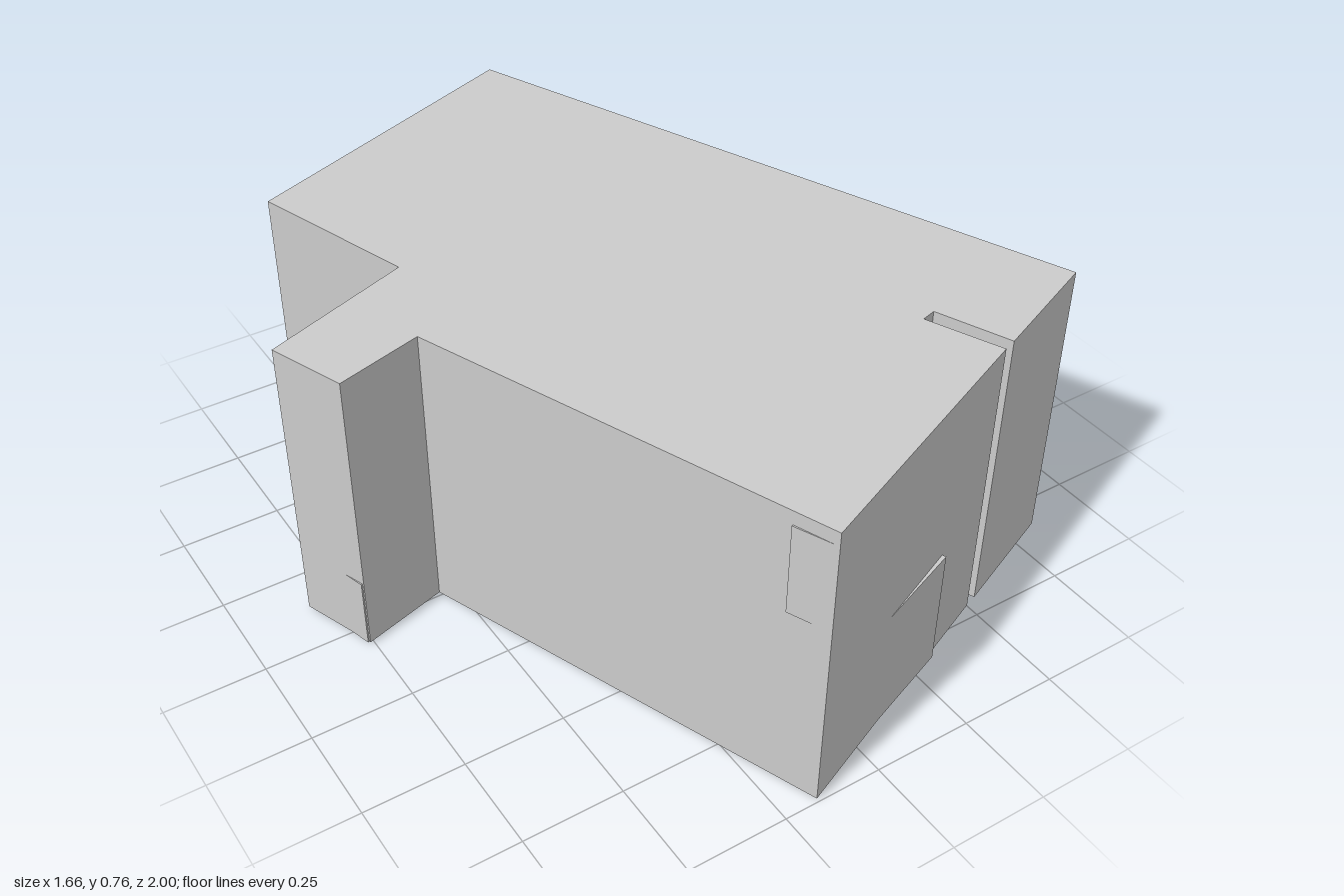
import * as THREE from 'three';

const BASE = 0.006, TOP = 0.765;

export function createModel() {
  const group = new THREE.Group();
  const material = new THREE.MeshStandardMaterial({ color: 0xcccccc, flatShading: true, side: THREE.DoubleSide });
  const add = (name, geometry) => {
    const mesh = new THREE.Mesh(geometry, material);
    mesh.name = name;
    group.add(mesh);
    return mesh;
  };

  // Building block: floor plan as [x, z] corners, with a side wing and a narrow front slot
  const plan = [
    [0.19, -1], [0.83, 0.58], [0.53, 0.705], [0.457, 0.525], [0.42, 0.535], [0.497, 0.717],
    [-0.165, 0.995], [-0.545, -0.005], [-0.76, 0.058], [-0.83, -0.13], [-0.455, -0.27], [-0.59, -0.695],
  ];
  const shape = new THREE.Shape(plan.map(([x, z]) => new THREE.Vector2(x, -z)));
  const block = new THREE.ExtrudeGeometry(shape, { depth: TOP - BASE, bevelEnabled: false });
  block.rotateX(-Math.PI / 2).translate(0, BASE, 0);
  add('buildingBlock', block);

  // Thin wedge panel rising from start to end, spread along `across`, lifted along `out`
  function wedge(name, start, end, across, out, lift) {
    const along = end.clone().sub(start);
    const profile = new THREE.Shape([
      new THREE.Vector2(0, 0), new THREE.Vector2(1, 0), new THREE.Vector2(1, lift),
    ]);
    const geometry = new THREE.ExtrudeGeometry(profile, { depth: 1, bevelEnabled: false });
    geometry.applyMatrix4(new THREE.Matrix4().makeBasis(along, out, across).setPosition(start));
    geometry.computeVertexNormals();
    add(name, geometry);
  }

  // Slightly raised wall panels, placed by fractions along a wall of the plan
  function wallPanel(name, i, from, to, y0, y1, lift) {
    const a = new THREE.Vector3(plan[i][0], y0, plan[i][1]);
    const b = new THREE.Vector3(plan[i + 1][0], y0, plan[i + 1][1]);
    const dir = b.clone().sub(a).normalize();
    const out = new THREE.Vector3(-dir.z, 0, dir.x).negate();
    out.set(dir.z, 0, -dir.x);
    wedge(name, a.clone().lerp(b, from), a.clone().lerp(b, to), new THREE.Vector3(0, y1 - y0, 0), out, lift);
  }
  wallPanel('frontPanel', 5, 0.62, 0.28, BASE, 0.32, 0.01);
  wallPanel('rightPanel', 0, 0.06, 0.18, BASE, 0.17, 0.004);
  wallPanel('sidePanel', 6, 0.01, 0.1, 0.5, 0.73, 0.004);
  wallPanel('wingPanel', 8, 0.3, 0.02, BASE, 0.19, 0.004);

  // Shallow panels under the floor: [u0, u1, v0, v1] in the plan's slanted axes
  const long = new THREE.Vector3(-0.64, 0, -1.58), wide = new THREE.Vector3(-0.78, 0, 0.305);
  const corner = new THREE.Vector3(0.83, BASE, 0.58);
  const at = (u, v) => corner.clone().addScaledVector(long, u).addScaledVector(wide, v);
  [
    [0.18, 0.415, 0.075, 0.344], [0.45, 0.69, 0.06, 0.36],
    [0.74, 0.985, 0.256, 0.97], [0.29, 0.53, 0.98, 1.25],
  ].forEach(([u0, u1, v0, v1]) => wedge('floorPanel', at(u0, v0), at(u1, v0),
    wide.clone().multiplyScalar(v1 - v0), new THREE.Vector3(0, -1, 0), BASE));

  return group;
}
